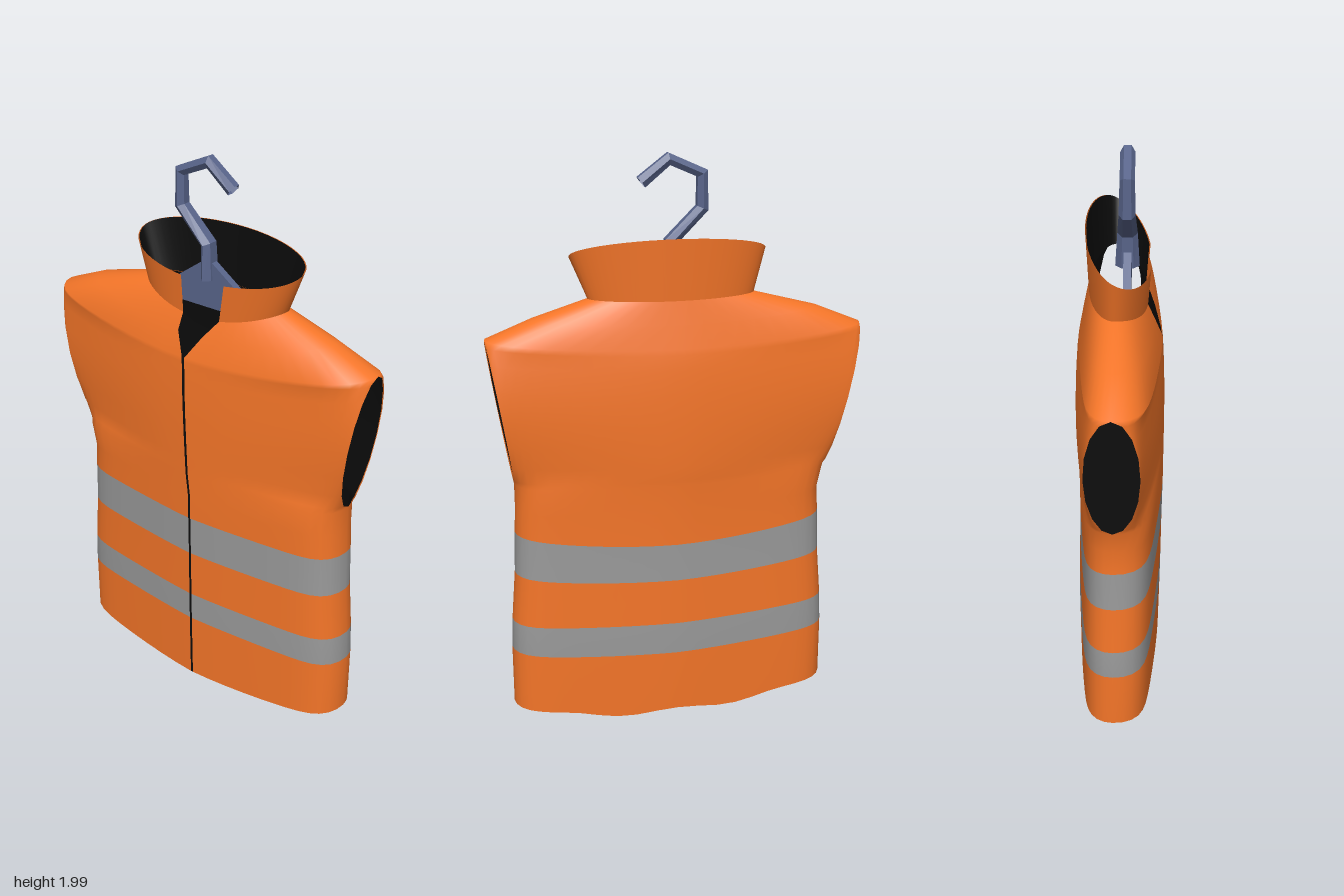
import * as THREE from 'three';
import { mergeVertices } from 'three/addons/utils/BufferGeometryUtils.js';

const paint = (color, extra = {}) => {
  const m = new THREE.MeshStandardMaterial({ side: THREE.DoubleSide, ...extra });
  m.color.set(color);
  return m;
};
const lerp = THREE.MathUtils.lerp;

// Cross-section levels, hem to neck:
// side y, half width, centre z, roundness, back y, back x, front y, front x, zip gap
const LOWER = [
  [0.05, 0.58, 0.03, 0, 0.02, 0.15, 0.012, -0.152, 0.008],
  [0.27, 0.58, 0.03, 0, 0.245, 0.152, 0.27, -0.156, 0.008],
  [0.38, 0.575, 0.03, 0, 0.36, 0.15, 0.38, -0.157, 0.008],
  [0.56, 0.56, 0.03, 0, 0.525, 0.146, 0.56, -0.158, 0.008],
  [0.71, 0.555, 0.03, 0, 0.66, 0.144, 0.71, -0.16, 0.008],
  [0.80, 0.55, 0.03, 0, 0.78, 0.144, 0.8, -0.16, 0.008],
  [0.89, 0.56, 0.02, 0, 0.88, 0.146, 0.89, -0.16, 0.008],
];
const UPPER = [
  [1.40, 0.66, 0, 0.2, 1.36, 0.132, 1.33, -0.149, 0.008],
  [1.465, 0.5, 0, 0.6, 1.44, 0.116, 1.41, -0.124, 0.1],
  [1.525, 0.29, 0.02, 1, 1.52, 0.1, 1.465, -0.1, 0.25],
];
const ARM = 0.09;      // armhole half depth
const FLOOR_ROW = 5;   // lining starts here
const SEAMS = [12, 37]; // columns where front and back panels meet

// One row of points: from the zip round the +z side, the back, the -z side, to the zip
function makeRow([y, w, zc, round, backY, backX, frontY, frontX, gap], armOpen = 0, isHem = false) {
  const row = [];
  const arc = (from, to, n, cx, cy, edgeX, back) => {
    for (let i = 0; i <= n; i++) {
      const s = Math.sin(lerp(from, to, i / n)), t = Math.abs(s);
      // Tapered panel with a rounded side, an ellipse at the neck, straight to the rim at the armhole
      const body = (1 - 0.35 * t ** 1.3) * Math.sqrt(Math.max(0, 1 - t ** 14));
      const oval = Math.sqrt(Math.max(0, 1 - t * t));
      const f = lerp(lerp(body, oval, round), 1 - t ** 1.5, armOpen / ARM);
      let py = lerp(cy, y, s * s);
      if (isHem && back) py -= 0.02 * Math.sin(Math.PI * Math.min(1, t / 0.7)) ** 2;
      row.push(new THREE.Vector3(lerp(edgeX, cx, f), py, zc + w * s));
    }
  };
  const q = Math.PI / 2;
  arc(Math.asin(gap * 1.25), q, 12, frontX, frontY, 0.01 - armOpen, false);
  arc(q, -q, 24, backX, backY, 0.01 + armOpen, true);
  arc(-q, -Math.asin(gap * 0.8), 12, frontX, frontY, 0.01 - armOpen, false);
  return row;
}

// Skin over rows, left open along the seam columns, coincident points welded for smooth normals
function skin(rows, seams = []) {
  const n = rows[0].length, index = [];
  for (let r = 0; r < rows.length - 1; r++)
    for (let j = 0; j < n - 1; j++) {
      if (seams.includes(j)) continue;
      const a = r * n + j, b = a + 1, c = b + n, d = a + n;
      index.push(a, b, c, a, c, d);
    }
  let geo = new THREE.BufferGeometry().setFromPoints(rows.flat());
  geo.setIndex(index);
  geo = mergeVertices(geo, 1e-5);
  geo.computeVertexNormals();
  geo.userData.perRow = (n - 1 - seams.length) * 6;
  return geo;
}

// Part of a skin: only the strips between the given rows
function strips(geo, ranges) {
  const all = Array.from(geo.index.array), k = geo.userData.perRow;
  const part = geo.clone();
  part.setIndex(ranges.flatMap(([from, to]) => all.slice(from * k, to * k)));
  return part;
}

// Inward-facing copy, set slightly inside
function lining(geo) {
  const inner = geo.clone(), p = inner.attributes.position, nrm = inner.attributes.normal;
  for (let i = 0; i < p.count; i++)
    p.setXYZ(i, p.getX(i) - nrm.getX(i) * 0.004, p.getY(i) - nrm.getY(i) * 0.004, p.getZ(i) - nrm.getZ(i) * 0.004);
  inner.setIndex(Array.from(geo.index.array).reverse());
  inner.computeVertexNormals();
  return inner;
}

export function createModel() {
  const group = new THREE.Group();
  const orange = paint(0xf47528), grey = paint(0x999999), black = paint(0x0c0c0c);
  const liner = paint(0x0c0c0c, { side: THREE.FrontSide });
  const steel = paint(0x58648a, { flatShading: true });
  const add = (name, geo, mat) => {
    const mesh = new THREE.Mesh(geo, mat);
    mesh.name = name;
    group.add(mesh);
  };

  // Torso rows: lower body, armhole levels, shoulders
  const rows = LOWER.map((l, i) => makeRow(l, 0, i === 0));
  const armpit = LOWER[LOWER.length - 1], tip = UPPER[0], STEPS = 8;
  for (let i = 1; i < STEPS; i++) {
    const a = (Math.PI * i) / STEPS, t = (1 - Math.cos(a)) / 2;
    const level = armpit.map((v, k) => lerp(v, tip[k], t));
    level[5] = lerp(armpit[5], tip[5], t ** 3) + 0.006 * Math.sin(a);
    level[7] = lerp(armpit[7], tip[7], t ** 3);
    rows.push(makeRow(level, ARM * Math.sin(a)));
  }
  rows.push(...UPPER.map((l) => makeRow(l)));
  const last = rows.length - 1;
  const torso = skin(rows, SEAMS);
  add('vestBody', strips(torso, [[0, 1], [2, 3], [4, last]]), orange);
  add('lowerReflectiveBand', strips(torso, [[1, 2]]), grey);
  add('upperReflectiveBand', strips(torso, [[3, 4]]), grey);

  // Dark lining of the upper body, closed off below the armholes
  add('vestLining', lining(strips(torso, [[FLOOR_ROW, last]])), liner);
  const outline = new THREE.Shape(rows[FLOOR_ROW].map((p) => new THREE.Vector2(p.x, -p.z)));
  add('liningFloor', new THREE.ShapeGeometry(outline).rotateX(-Math.PI / 2).translate(0, 0.79, 0), black);

  // Zip strip closing the front up to the open neck
  add('zip', skin(rows.slice(0, -2).map((r) => [r[r.length - 1], r[0]])), black);

  // Stand-up collar flaring from the neckline, higher at the back
  const neck = rows[last];
  const collarTop = neck.map((p) => {
    const x = p.x * 1.1;
    return new THREE.Vector3(x, 1.665 + 0.58 * x, 0.03 + (p.z - 0.02) * 1.17);
  });
  const collar = skin([neck, collarTop]);
  add('collar', collar, orange);
  add('collarLining', lining(collar), liner);

  // Hanger hook: faceted tube through its bend points, broadening towards the stem
  const bends = [[0.115, 1.9], [0.02, 1.975], [-0.095, 1.925], [-0.095, 1.81], [0.015, 1.7], [0.02, 1.58]];
  const path = new THREE.CatmullRomCurve3(bends.map(([z, y]) => new THREE.Vector3(0, y, z)));
  path.getPointAt = (t, v) => path.getPoint(t, v);
  path.getTangentAt = (t, v) => path.getTangent(t, v);
  const hook = new THREE.TubeGeometry(path, bends.length - 1, 0.024, 6, false);
  const hp = hook.attributes.position;
  for (let i = 0; i < hp.count; i++)
    hp.setX(i, -0.028 + hp.getX(i) * (1 + 2.5 * Math.max(0, 1.86 - hp.getY(i))));
  add('hangerHook', hook, steel);

  // Hanger arms: a thin sloping plate inside the neck
  const arms = new THREE.Shape([[-0.21, 1.48], [0.17, 1.48], [0.17, 1.52], [0, 1.64], [-0.04, 1.64], [-0.21, 1.52]]
    .map(([z, y]) => new THREE.Vector2(z, y)));
  const plate = new THREE.ExtrudeGeometry(arms, { depth: 0.026, bevelEnabled: false });
  plate.rotateY(Math.PI / 2).translate(-0.041, 0, 0);
  add('hangerArms', plate, steel);

  return group;
}
